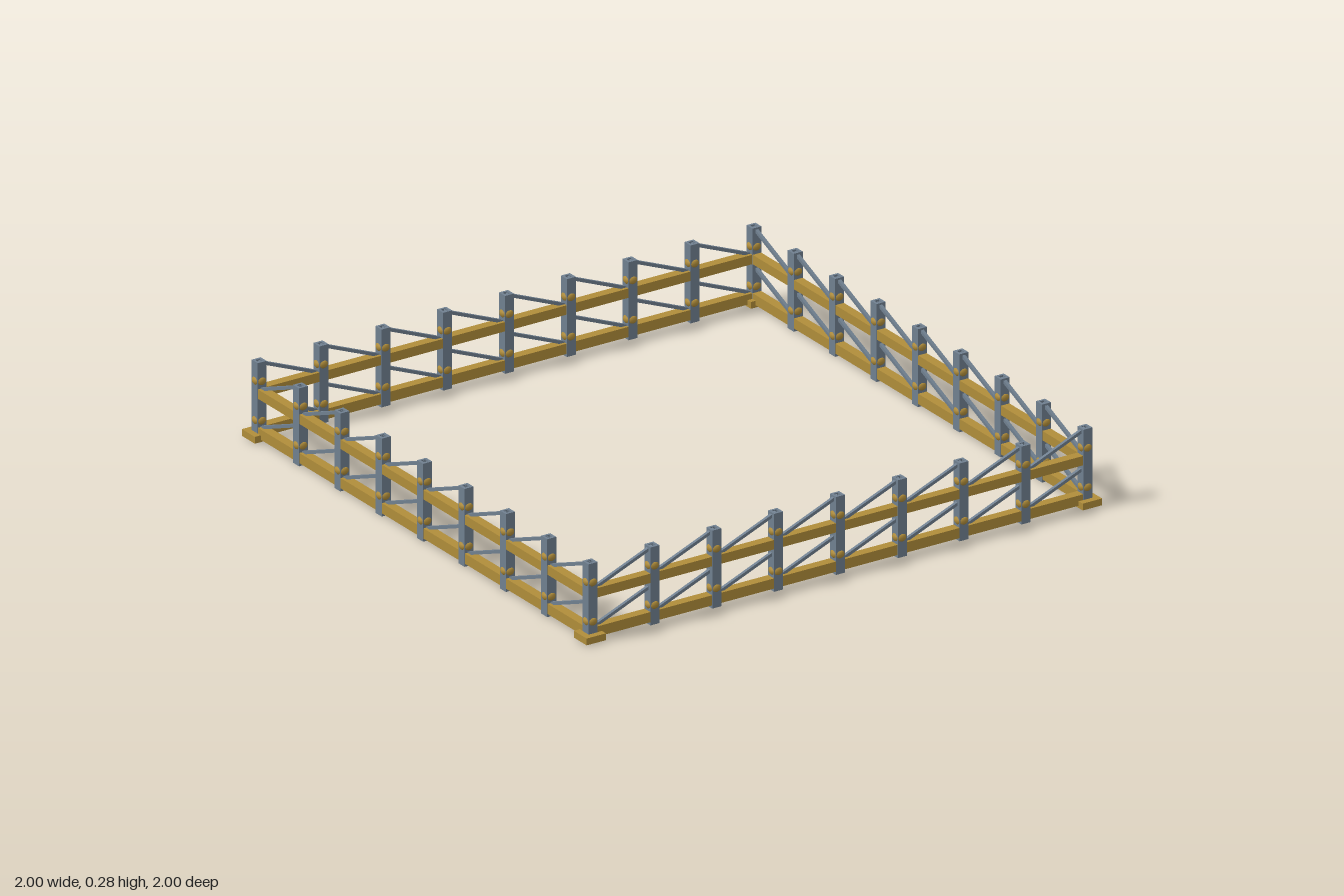
import * as THREE from 'three';

const HALF = 0.96;      // distance from the centre to each fence line
const BAYS = 8;
const STEP = (2 * HALF) / BAYS;
const POST_W = 0.035;
const POST_H = 0.275;

const steel = new THREE.MeshStandardMaterial({ color: 0x708090 });
steel.name = 'slate steel';
const brass = new THREE.MeshStandardMaterial({ color: 0xb08d3a });
brass.name = 'brass';

function square(Type, size) {
  const h = size / 2;
  return new Type([
    new THREE.Vector2(-h, -h), new THREE.Vector2(h, -h),
    new THREE.Vector2(h, h), new THREE.Vector2(-h, h),
  ]);
}

// Hollow square post, standing on y = 0
function postGeometry() {
  const shape = square(THREE.Shape, POST_W);
  shape.holes.push(square(THREE.Path, POST_W * 0.5));
  const geo = new THREE.ExtrudeGeometry(shape, { depth: POST_H, bevelEnabled: false });
  return geo.rotateX(-Math.PI / 2);
}

// Rounded collar around a post
function collarGeometry() {
  const profile = [[0, -0.013], [0.018, -0.013], [0.0225, -0.007], [0.0235, 0],
    [0.0225, 0.007], [0.018, 0.013], [0, 0.013]];
  return new THREE.LatheGeometry(profile.map(([r, y]) => new THREE.Vector2(r, y)), 16);
}

export function createModel() {
  const model = new THREE.Group();
  model.name = 'squareFence';

  const postGeo = postGeometry();
  const collarGeo = collarGeometry();
  const plateGeo = new THREE.BoxGeometry(0.075, 0.024, 0.075);
  const lowerRailGeo = new THREE.BoxGeometry(2 * HALF, 0.036, 0.033);
  const upperRailGeo = new THREE.BoxGeometry(2 * HALF, 0.033, 0.033);
  const drop = 0.097;
  const braceGeo = new THREE.BoxGeometry(Math.hypot(STEP, drop), 0.011, 0.011);

  function add(parent, name, geo, mat, x, y, z) {
    const mesh = new THREE.Mesh(geo, mat);
    mesh.name = name;
    mesh.position.set(x, y, z);
    parent.add(mesh);
    return mesh;
  }

  // One side of the fence, turned four times about the centre
  for (let s = 0; s < 4; s++) {
    const side = new THREE.Group();
    side.name = ['frontSide', 'leftSide', 'backSide', 'rightSide'][s];
    side.rotation.y = (s * Math.PI) / 2;
    model.add(side);

    add(side, 'cornerPlate', plateGeo, brass, -0.9625, 0.015, 0.9625);
    add(side, 'lowerRail', lowerRailGeo, brass, 0, 0.029, HALF);
    add(side, 'upperRail', upperRailGeo, brass, 0, 0.166, HALF);

    for (let i = 0; i < BAYS; i++) {
      const x = -HALF + i * STEP;
      add(side, 'post', postGeo, steel, x, 0, HALF);
      for (const y of [0.068, 0.207]) add(side, 'collar', collarGeo, brass, x, y, HALF);

      // Diagonal braces rise towards the next post
      for (const y of [0.086, 0.221]) {
        const brace = add(side, 'brace', braceGeo, steel, x + STEP / 2, y, HALF);
        brace.rotation.z = Math.atan2(drop, STEP);
      }
    }
  }
  return model;
}
